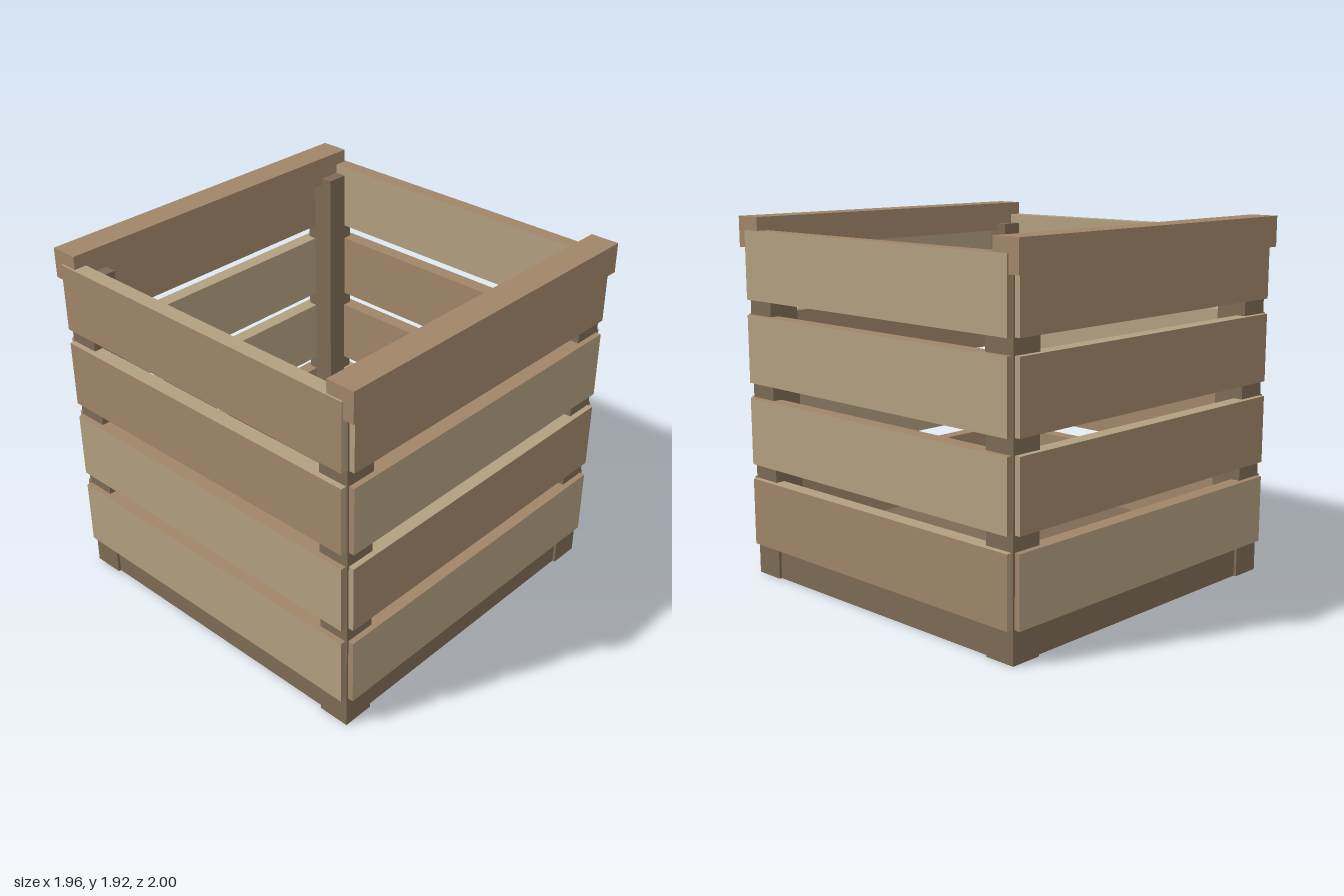
import * as THREE from 'three';

const paint = (color) => new THREE.MeshStandardMaterial({ color, flatShading: true });

export function createModel() {
  const crate = new THREE.Group();
  crate.name = 'crate';
  const light = paint(0xb29f80);
  const brown = paint(0xa08669);
  const dark = paint(0x7d6a55);

  // box given by its lower and upper corners
  function box(name, lo, hi, material, parent = crate) {
    const size = hi.map((v, i) => v - lo[i]);
    const mesh = new THREE.Mesh(new THREE.BoxGeometry(...size), material);
    mesh.position.set(...hi.map((v, i) => (v + lo[i]) / 2));
    mesh.name = name;
    parent.add(mesh);
    return mesh;
  }

  // floor slab
  box('floor', [-0.935, 0, -0.935], [0.935, 0.18, 0.935], dark);

  // corner posts
  for (const x of [-1, 1]) {
    for (const z of [-1, 1]) {
      const cx = x * 0.865, cz = z * 0.865, r = 0.085;
      box('cornerPost', [cx - r, 0, cz - r], [cx + r, 1.8, cz + r], dark);
    }
  }

  // four walls of slats; L = light, B = brown, listed from bottom to top
  const walls = [
    { name: 'front', turn: 0, outer: 'LBLB', inner: 'BLBL' },
    { name: 'left', turn: Math.PI / 2, outer: 'BLLL', inner: 'LBBL' },
    { name: 'back', turn: Math.PI, outer: 'LBBB', inner: 'BLLB' },
    { name: 'right', turn: -Math.PI / 2, outer: 'LLBB', inner: 'BBLL' },
  ];
  const wood = { L: light, B: brown };
  for (const { name, turn, outer, inner } of walls) {
    const wall = new THREE.Group();
    wall.name = name + 'Wall';
    wall.rotation.y = turn;
    for (let i = 0; i < 4; i++) {
      const y = 0.17 + 0.44 * i;
      const edge = outer[i] === 'L' ? brown : light;
      // sides, top, bottom, outer face, inner face
      const faces = [edge, edge, edge, edge, wood[outer[i]], wood[inner[i]]];
      box(name + 'Slat', [-0.94, y, 0.9], [0.94, y + 0.36, 0.98], faces, wall);
    }
    crate.add(wall);
  }

  // top rails along front and back
  box('frontRail', [-0.97, 1.76, 0.845], [0.97, 1.92, 1], brown);
  box('backRail', [-0.97, 1.76, -1], [0.97, 1.92, -0.845], brown);

  return crate;
}
